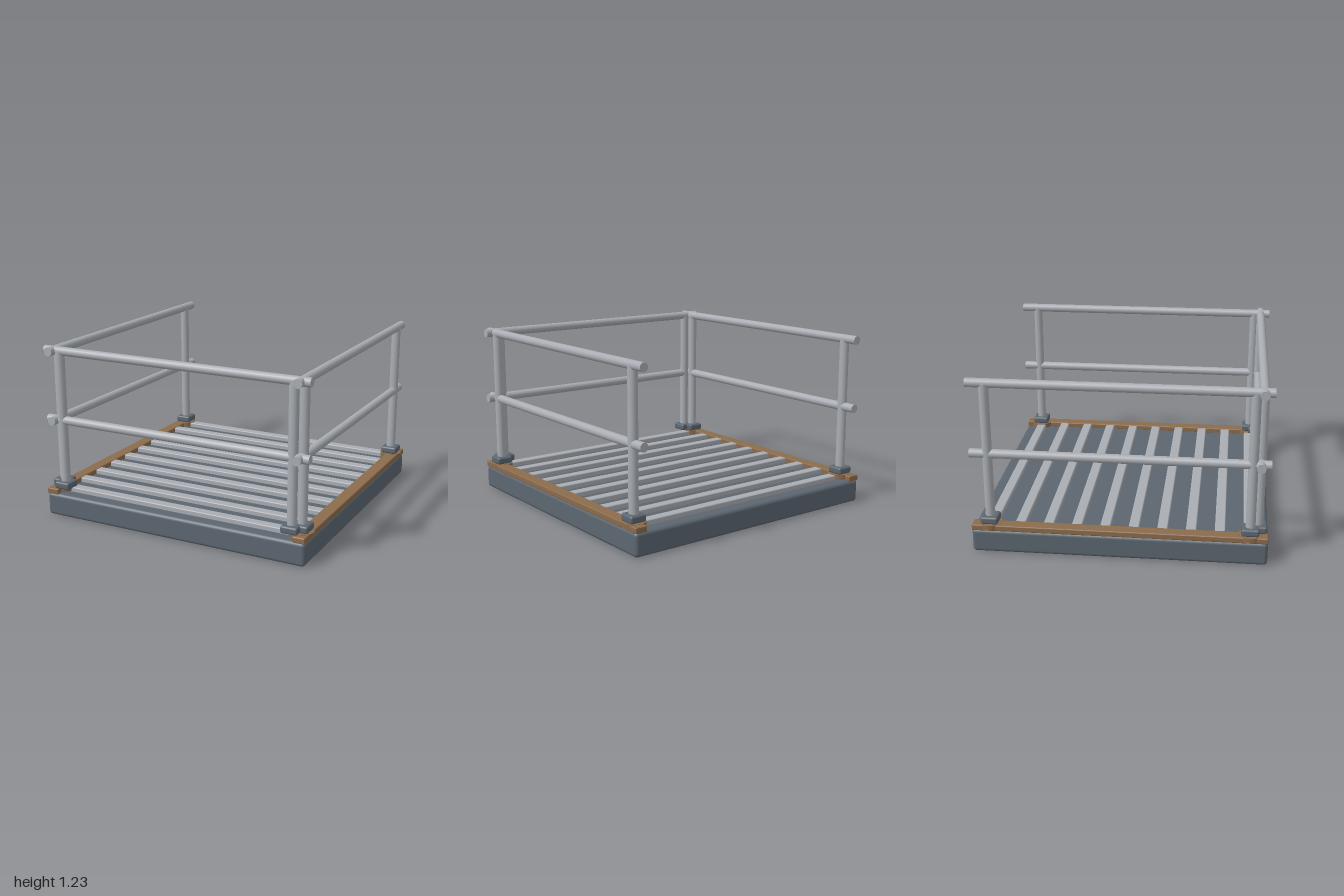
import * as THREE from 'three';
import { RoundedBoxGeometry } from 'three/addons/geometries/RoundedBoxGeometry.js';

export function createModel() {
  const model = new THREE.Group();
  const steel = new THREE.MeshStandardMaterial({ color: 0xa9adb3 });
  const dark = new THREE.MeshStandardMaterial({ color: 0x5c6670 });
  const brown = new THREE.MeshStandardMaterial({ color: 0x8b6b4c });

  const add = (name, geometry, material, x, y, z) => {
    const mesh = new THREE.Mesh(geometry, material);
    mesh.name = name;
    mesh.position.set(x, y, z);
    model.add(mesh);
    return mesh;
  };

  // Platform slab
  add('platform', new RoundedBoxGeometry(2, 0.165, 2, 3, 0.025), dark, 0, 0.0825, 0);

  // Raised tread slats across the deck
  const slat = new RoundedBoxGeometry(1.83, 0.045, 0.07, 2, 0.008);
  for (let i = 0; i < 10; i++) {
    add('slat', slat, steel, 0, 0.176, -0.873 + i * 0.194);
  }

  // Edge strips along both sides
  const strip = new RoundedBoxGeometry(0.09, 0.042, 2, 2, 0.008);
  for (const s of [-1, 1]) add('edgeStrip', strip, brown, s * 0.955, 0.181, 0);

  // Upright post with its foot block
  const postGeometry = new THREE.CylinderGeometry(0.033, 0.033, 0.98, 20);
  const footGeometry = new RoundedBoxGeometry(0.12, 0.052, 0.12, 3, 0.015);
  const addPost = (x, z) => {
    add('post', postGeometry, steel, x, 0.71, z);
    add('postFoot', footGeometry, dark, x, 0.229, z);
  };

  // Full-length horizontal pipe
  const railGeometry = new THREE.CylinderGeometry(0.031, 0.031, 2, 20);
  const heights = [0.705, 1.202];

  // Side railings
  const padGeometry = new THREE.CylinderGeometry(0.08, 0.08, 0.035, 24);
  for (const s of [-1, 1]) {
    for (const z of [-0.88, 0.88]) {
      addPost(s * 0.932, z);
      add('postPad', padGeometry, brown, s * 0.932, 0.186, z);
    }
    for (const y of heights) {
      add('sideRail', railGeometry, steel, s * 0.932, y, 0).rotation.x = Math.PI / 2;
    }
  }

  // Front railing
  for (const s of [-1, 1]) addPost(s * 0.882, 0.932);
  for (const y of heights) {
    add('frontRail', railGeometry, steel, 0, y, 0.932).rotation.z = Math.PI / 2;
  }

  return model;
}
